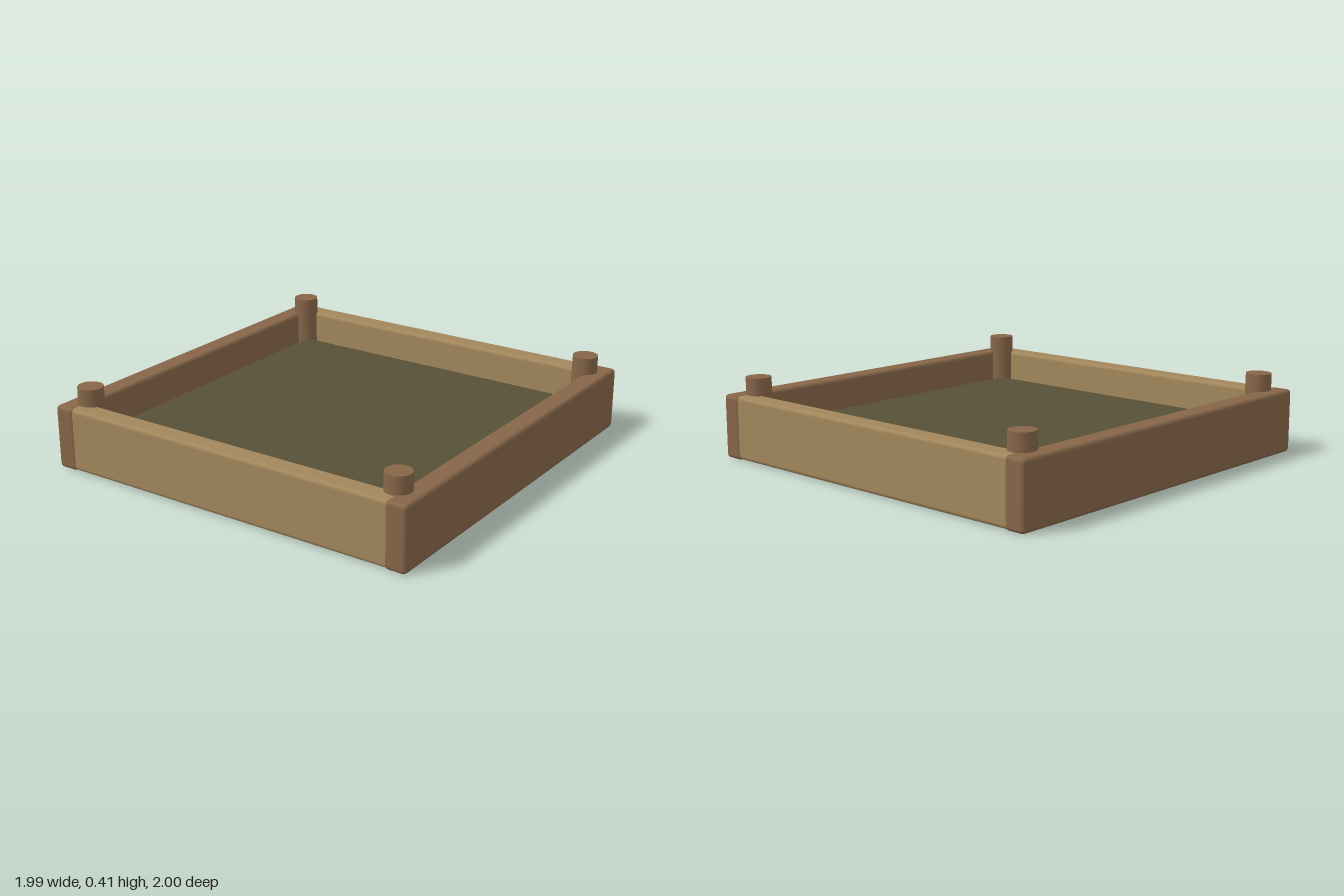
import * as THREE from 'three';
import { RoundedBoxGeometry } from 'three/addons/geometries/RoundedBoxGeometry.js';

function material(name, color) {
  const m = new THREE.MeshStandardMaterial({ color });
  m.name = name;
  return m;
}

export function createModel() {
  const group = new THREE.Group();
  group.name = 'squareTray';
  const lightWood = material('lightWood', 0xa2865c);
  const darkWood = material('darkWood', 0x866649);
  const soil = material('darkOlive', 0x585037);

  function add(name, geometry, mat, x, y, z) {
    const mesh = new THREE.Mesh(geometry, mat);
    mesh.name = name;
    mesh.position.set(x, y, z);
    group.add(mesh);
  }

  // Softly bevelled bar
  const bar = (w, h, d) => new RoundedBoxGeometry(w, h, d, 2, 0.02);

  // Bed filling the frame, with a narrow gap all round
  add('bed', bar(1.72, 0.15, 1.72), soil, 0, 0.095, 0);

  for (const s of [-1, 1]) {
    // Side rails run the full depth; front and back rails butt into them
    add(s > 0 ? 'leftRail' : 'rightRail', bar(0.11, 0.32, 2), darkWood, s * 0.938, 0.16, 0);
    add(s > 0 ? 'frontRail' : 'backRail', bar(1.9, 0.316, 0.11), lightWood, 0, 0.16, s * 0.94);

    // Slightly tapered corner posts
    for (const t of [-1, 1]) {
      add('cornerPost', new THREE.CylinderGeometry(0.063, 0.069, 0.395, 24), darkWood,
        s * 0.875, 0.2075, t * 0.875);
    }
  }
  return group;
}
